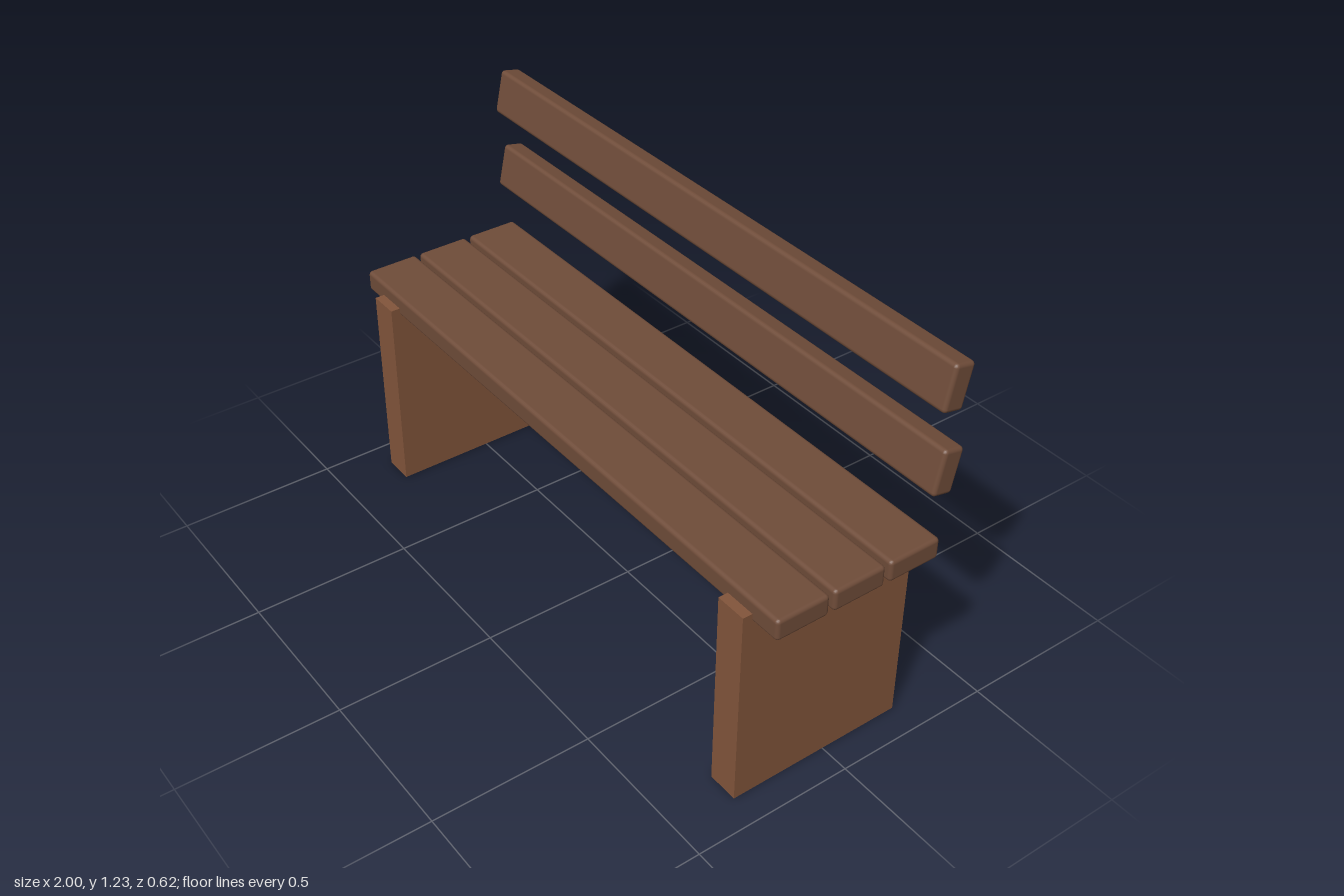
import * as THREE from 'three';
import { RoundedBoxGeometry } from 'three/addons/geometries/RoundedBoxGeometry.js';

export function createModel() {
  const bench = new THREE.Group();
  bench.name = 'bench';
  const slatWood = new THREE.MeshStandardMaterial({ color: 0x6f4c39 });
  const legWood = new THREE.MeshStandardMaterial({ color: 0x82553b });

  // Full-length plank with softened edges
  function addSlat(name, height, depth, y, z, tilt = 0) {
    const slat = new THREE.Mesh(new RoundedBoxGeometry(2, height, depth, 2, 0.012), slatWood);
    slat.name = name;
    slat.position.set(0, y, z);
    slat.rotation.x = tilt;
    bench.add(slat);
  }

  // Three seat slats with narrow gaps
  [0.195, 0.01, -0.176].forEach((z, i) => addSlat(`seatSlat${i + 1}`, 0.068, 0.17, 0.652, z));

  // Two backrest slats leaning backwards
  [0.896, 1.153].forEach((y, i) => addSlat(`backSlat${i + 1}`, 0.138, 0.068, y, -0.26, -0.21));

  // Solid slab legs, let slightly into the seat
  for (const [name, side] of [['leftLeg', 1], ['rightLeg', -1]]) {
    const leg = new THREE.Mesh(new THREE.BoxGeometry(0.097, 0.645, 0.57), legWood);
    leg.name = name;
    leg.position.set(side * 0.857, 0.3225, 0.025);
    bench.add(leg);
  }
  return bench;
}
